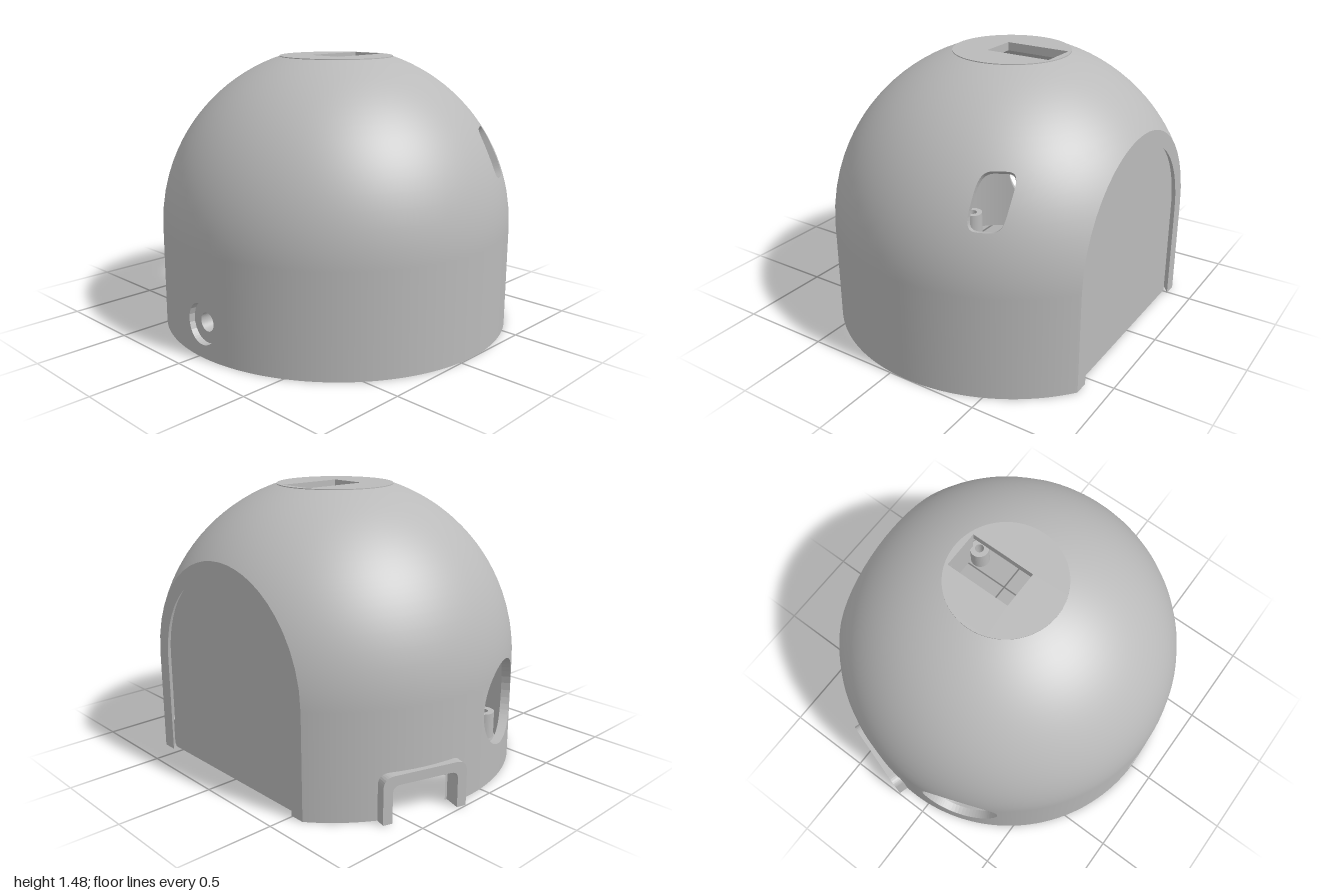
import * as THREE from 'three';

const R_OUT = 0.972, R_IN = 0.925, SPRING = 0.55;   // shell radii, height where the dome starts
const CUT = 0.765, PHI_TOP = 1.258;                 // flat side plane, end angle of the dome
const NU = 144, CYL = 11, ARCH = 12, CROWN = 10, NV = CYL + ARCH + CROWN;

const grey = new THREE.MeshStandardMaterial({ color: 0xbababa, side: THREE.DoubleSide });
grey.name = 'plasticGrey';

// Point and normal on a shell of radius R; w runs up the wall and then along the dome
const phiOf = (w) => Math.max(0, (w - SPRING) / R_OUT);
function surf(R, [theta, w]) {
  const p = phiOf(w), c = Math.cos(p), s = Math.sin(p);
  const n = new THREE.Vector3(c * Math.cos(theta), s, c * Math.sin(theta));
  return { n, p: new THREE.Vector3(R * n.x, Math.min(w, SPRING) + R * s, R * n.z) };
}

// Grid node; the angular range shrinks so the first and last columns lie on the cut plane
function node(R, i, j) {
  const apex = Math.acos(CUT / R);
  let w;
  if (j <= CYL) w = SPRING * j / CYL;
  else {
    const t = (j - CYL) / ARCH;
    const phi = t <= 1 ? apex * (1 - (1 - t) ** 2)
      : apex + (PHI_TOP - apex) * (j - CYL - ARCH) / CROWN;
    w = SPRING + phi * R_OUT;
  }
  const lim = Math.acos(Math.min(1, CUT / (R * Math.cos(phiOf(w)))));
  return [lim + (i / NU) * (2 * Math.PI - 2 * lim), w];
}

// Openings: block of grid cells replaced, and the outline as a function of angle
const round = (theta, y, r) => (a) => [theta + r * Math.cos(a) / R_OUT, y + r * Math.sin(a)];
const soft = (v) => Math.sign(v) * Math.sqrt(Math.abs(v));
const slot = (a) => {
  const x = 0.38 - 0.08 * soft(Math.cos(a)), y = 0.985 + 0.125 * soft(Math.sin(a));
  const phi = Math.asin((y - SPRING) / R_OUT);
  return [Math.acos(x / (R_OUT * Math.cos(phi))), SPRING + phi * R_OUT];
};
const holes = [
  { i0: 8, i1: 34, j0: 13, j1: 24, edge: slot },
  { i0: 98, i1: 118, j0: 2, j1: 13, edge: round(4.369, 0.4, 0.225) },
  { i0: 67, i1: 77, j0: 1, j1: 6, edge: round(Math.PI, 0.18, 0.11) },
];
const notch = { i0: 120, i1: 132, j0: 0, j1: 4 };
const inBlock = (b, i, j) => i >= b.i0 && i < b.i1 && j >= b.j0 && j < b.j1;

// Nodes around a block with the matching outline angle
function perimeter(b) {
  const list = [];
  for (let i = b.i0; i < b.i1; i++) list.push([i, b.j0]);
  for (let j = b.j0; j < b.j1; j++) list.push([b.i1, j]);
  for (let i = b.i1; i > b.i0; i--) list.push([i, b.j1]);
  for (let j = b.j1; j > b.j0; j--) list.push([b.i0, j]);
  return list.map(([i, j]) => ({
    i, j,
    a: Math.atan2((2 * j - b.j0 - b.j1) / (b.j1 - b.j0), (2 * i - b.i0 - b.i1) / (b.i1 - b.i0)),
  }));
}

function buffer(pos, nor) {
  const g = new THREE.BufferGeometry();
  g.setAttribute('position', new THREE.Float32BufferAttribute(pos, 3));
  if (nor) g.setAttribute('normal', new THREE.Float32BufferAttribute(nor, 3));
  else g.computeVertexNormals();
  return g;
}

// One smooth skin of the shell, with its openings
function skin(R, outward) {
  const pos = [], nor = [], sign = outward ? 1 : -1;
  const quad = (a, b, c, d) => {           // corners counter-clockwise in (theta, w)
    const order = outward ? [a, c, b, a, d, c] : [a, b, c, a, c, d];
    for (const q of order) {
      const s = surf(R, q);
      pos.push(s.p.x, s.p.y, s.p.z);
      nor.push(sign * s.n.x, sign * s.n.y, sign * s.n.z);
    }
  };
  for (let j = 0; j < NV; j++) for (let i = 0; i < NU; i++) {
    if ([...holes, notch].some((b) => inBlock(b, i, j))) continue;
    quad(node(R, i, j), node(R, i + 1, j), node(R, i + 1, j + 1), node(R, i, j + 1));
  }
  const K = 6;
  for (const h of holes) {
    const ring = perimeter(h);
    const at = (m, k) => {
      const e = ring[m % ring.length], o = node(R, e.i, e.j), q = h.edge(e.a), t = k / K;
      return [o[0] + (q[0] - o[0]) * t, o[1] + (q[1] - o[1]) * t];
    };
    for (let m = 0; m < ring.length; m++) for (let k = 0; k < K; k++)
      quad(at(m, k), at(m + 1, k), at(m + 1, k + 1), at(m, k + 1));
  }
  return buffer(pos, nor);
}

// Faces joining the outer skin to the inner one
function shellEdges() {
  const pos = [];
  const join = (o1, o2, i1, i2) => {
    const a = surf(R_OUT, o1).p, b = surf(R_OUT, o2).p, c = surf(R_IN, i2).p, d = surf(R_IN, i1).p;
    for (const v of [a, b, c, a, c, d]) pos.push(v.x, v.y, v.z);
  };
  const joinNodes = (i1, j1, i2, j2) =>
    join(node(R_OUT, i1, j1), node(R_OUT, i2, j2), node(R_IN, i1, j1), node(R_IN, i2, j2));
  for (const i of [0, NU]) for (let j = 0; j < CYL + ARCH; j++) joinNodes(i, j, i, j + 1);
  for (let i = 0; i < NU; i++) joinNodes(i, inBlock(notch, i, 0) ? notch.j1 : 0, i + 1, inBlock(notch, i, 0) ? notch.j1 : 0);
  for (const h of holes) {
    const ring = perimeter(h);
    ring.forEach((e, m) => {
      const p = h.edge(e.a), q = h.edge(ring[(m + 1) % ring.length].a);
      join(p, q, p, q);
    });
  }
  return buffer(pos);
}

// Round-topped outline standing on y = 0
function archShape(half, spring) {
  const s = new THREE.Shape();
  s.moveTo(-half, 0);
  s.lineTo(half, 0);
  s.lineTo(half, spring);
  s.absarc(0, spring, half, 0, Math.PI, false);
  s.closePath();
  return s;
}

function ringShape(outer, inner) {
  const s = new THREE.Shape().absarc(0, 0, outer, 0, Math.PI * 2, false);
  s.holes.push(new THREE.Path().absarc(0, 0, inner, 0, Math.PI * 2, true));
  return s;
}

const extrude = (shape, depth, curveSegments = 24) =>
  new THREE.ExtrudeGeometry(shape, { depth, bevelEnabled: false, curveSegments });

export function createModel() {
  const model = new THREE.Group();
  model.name = 'domeHousing';
  const body = new THREE.Group();
  body.name = 'housing';
  body.position.set(0.1, 0, 0.027);
  model.add(body);
  const add = (name, geometry) => {
    const m = new THREE.Mesh(geometry, grey);
    m.name = name;
    body.add(m);
    return m;
  };

  add('outerShell', skin(R_OUT, true));
  add('innerShell', skin(R_IN, false));
  add('shellEdges', shellEdges());

  // Flat crown with a rectangular opening
  const crown = new THREE.Shape().absarc(0, 0, 0.311, 0, Math.PI * 2, false);
  crown.holes.push(new THREE.Path([[-0.09, -0.098], [-0.09, 0.107], [0.275, 0.107], [0.275, -0.098]]
    .map(([x, y]) => new THREE.Vector2(x, y))));
  add('crownPlate', extrude(crown, 0.045, 72).rotateX(-Math.PI / 2).translate(0, 1.43, 0));

  // Recessed flat side panel
  add('sidePanel', extrude(archShape(0.54, SPRING), 0.03, 48).rotateY(Math.PI / 2).translate(0.705, 0, 0));

  // Screw posts on the floor line
  for (const [x, z] of [[0.66, 0.55], [0.66, -0.55], [-0.56, 0.645], [-0.65, -0.55]])
    add('screwPost', extrude(ringShape(0.065, 0.03), 0.15).rotateX(-Math.PI / 2).translate(x, 0, z));

  // Bosses on the inside of the wall
  add('jackBoss', extrude(ringShape(0.125, 0.05), 0.085, 32).rotateY(Math.PI / 2).translate(-0.935, 0.18, 0));
  add('sensorRing', extrude(ringShape(0.17, 0.13), 0.09, 32).rotateY(Math.PI / 2).translate(-0.95, 0.52, 0));

  // Cable port frame at the foot of the wall
  const frame = new THREE.Shape();
  const portPath = (half, top, r) => {
    frame.lineTo(half, top - Math.abs(r));
  };
  frame.moveTo(-0.228, 0);
  frame.lineTo(-0.228, 0.18);
  frame.quadraticCurveTo(-0.228, 0.24, -0.168, 0.24);
  frame.lineTo(0.168, 0.24);
  frame.quadraticCurveTo(0.228, 0.24, 0.228, 0.18);
  portPath(0.228, 0, 0);
  frame.lineTo(0.178, 0);
  frame.lineTo(0.178, 0.15);
  frame.quadraticCurveTo(0.178, 0.19, 0.138, 0.19);
  frame.lineTo(-0.138, 0.19);
  frame.quadraticCurveTo(-0.178, 0.19, -0.178, 0.15);
  frame.lineTo(-0.178, 0);
  frame.closePath();
  add('cablePortFrame', extrude(frame, 0.11, 8).translate(0, 0, 0.89)).rotation.y = Math.atan2(0.3, -0.954);

  return model;
}
